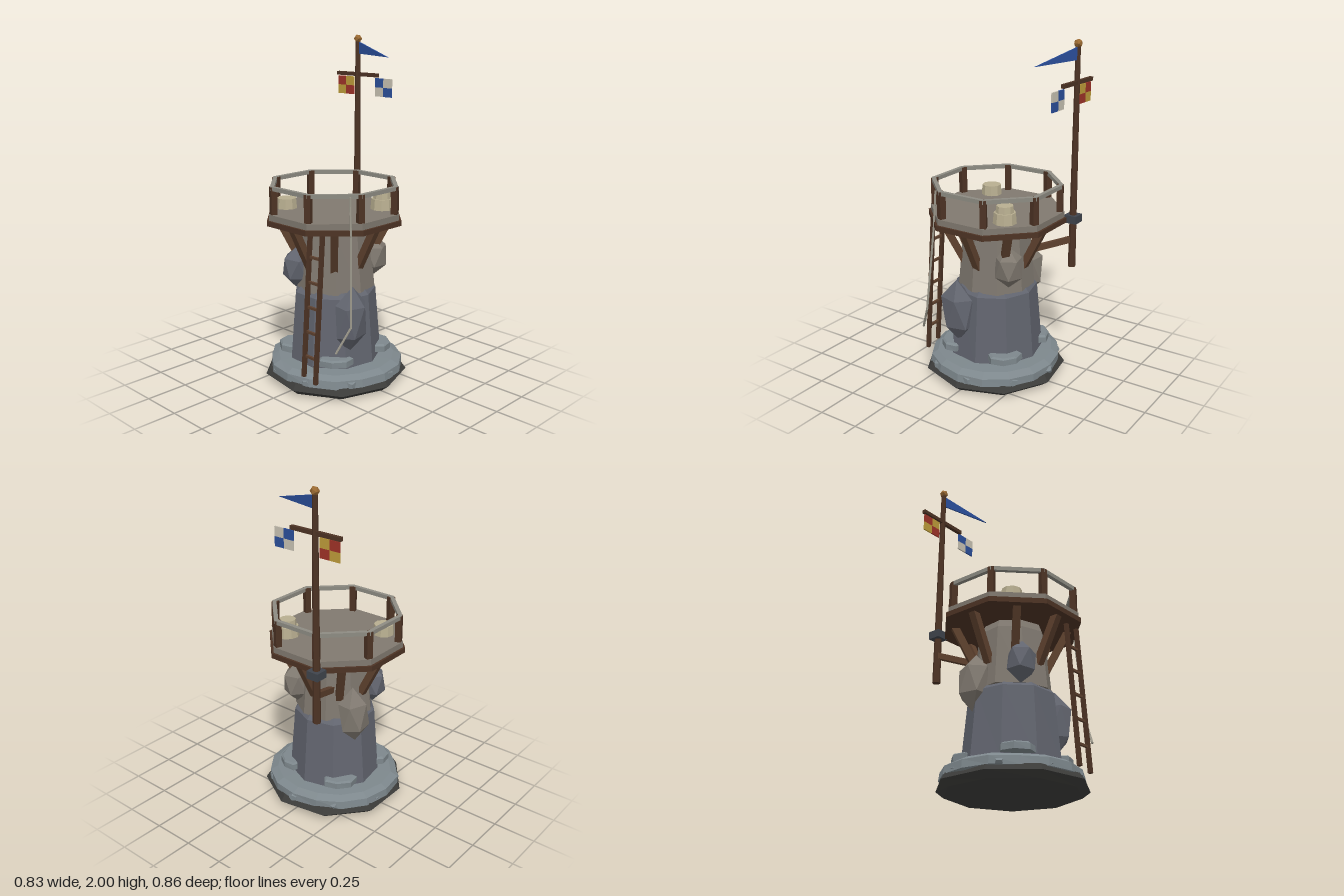
import * as THREE from 'three';

const mat = (color) => new THREE.MeshStandardMaterial({ color, flatShading: true, side: THREE.DoubleSide });
const M = {
  slab: mat(0x3c3c3a), ledge: mat(0x7d878c), rock: mat(0x62656f), stone: mat(0x807970),
  wood: mat(0x4d3324), strut: mat(0x5e412e), deck: mat(0x80796f), rail: mat(0x8d8b82),
  straw: mat(0xb8ae90), iron: mat(0x3f444c), gold: mat(0x9a6a32), rope: mat(0x9b978a),
  blue: mat(0x2b4f9c), white: mat(0xc9c3b4), red: mat(0xa03328), yellow: mat(0xbf9d3a),
};
const CX = -0.008; // platform centre in x

// Repeatable value in -1..1
const noise = (i) => {
  const s = Math.sin(i * 127.1 + 3.7) * 43758.5453;
  return (s - Math.floor(s)) * 2 - 1;
};

export function createModel() {
  const root = new THREE.Group();
  root.name = 'watchtower';

  const add = (name, geo, material, x = 0, y = 0, z = 0, parent = root) => {
    const m = new THREE.Mesh(geo, material);
    m.name = name;
    m.position.set(x, y, z);
    parent.add(m);
    return m;
  };
  const group = (name) => {
    const g = new THREE.Group();
    g.name = name;
    root.add(g);
    return g;
  };

  // Faceted solid of revolution with uneven corners; profile is [radius, y]
  const rough = (profile, sides, amount, seed, start = Math.PI / 2) => {
    const geo = new THREE.LatheGeometry(profile.map(([r, y]) => new THREE.Vector2(r, y)), sides, start);
    const p = geo.attributes.position, n = profile.length;
    for (let i = 0; i < p.count; i++) {
      const side = Math.floor(i / n) % sides, k = i % n;
      const f = 1 + amount * (noise(side + seed) + 0.4 * noise(side * 7 + k + seed));
      p.setX(i, p.getX(i) * f);
      p.setZ(i, p.getZ(i) * f);
    }
    return geo;
  };

  // Square beam or round pole between two points
  const beam = (name, a, b, w, material, parent = root, round = false) => {
    const A = new THREE.Vector3(...a), B = new THREE.Vector3(...b), len = A.distanceTo(B);
    const geo = round ? new THREE.CylinderGeometry(w / 2, w / 2, len, 6) : new THREE.BoxGeometry(w, len, w);
    const m = add(name, geo, material, 0, 0, 0, parent);
    m.position.copy(A).lerp(B, 0.5);
    // Keep the beam upright about y so its sides follow its direction
    const dir = B.clone().sub(A).normalize();
    const side = new THREE.Vector3(0, 1, 0).cross(dir);
    if (side.lengthSq() < 1e-8) side.set(1, 0, 0);
    side.normalize();
    m.quaternion.setFromRotationMatrix(new THREE.Matrix4().makeBasis(side, dir, side.clone().cross(dir)));
    return m;
  };

  // Footing and stone ledge
  add('footing', rough([[0, 0], [0.38, 0.005], [0.425, 0.04], [0.40, 0.075], [0, 0.075]], 9, 0.012, 3), M.slab);
  add('stoneLedge', rough([[0.36, 0.05], [0.395, 0.07], [0.39, 0.115], [0.35, 0.138], [0.2, 0.142]], 16, 0.025, 11), M.ledge);
  const stones = group('looseStones');
  for (let i = 0; i < 9; i++) {
    const a = i * 0.7 + 0.32;
    const s = add('ledgeStone', new THREE.DodecahedronGeometry(0.04 + 0.008 * noise(i)), M.ledge,
      0.365 * Math.sin(a), 0.085, 0.365 * Math.cos(a), stones);
    s.scale.y = 0.8;
    s.rotation.y = i;
  }
  for (let i = 0; i < 4; i++) {
    const a = Math.PI / 4 + i * Math.PI / 2;
    const s = add('flatStone', rough([[0, -0.024], [0.1, -0.02], [0.1, 0.015], [0.085, 0.024], [0, 0.024]], 7, 0.06, 30 + i), M.ledge,
      0.262 * Math.sin(a), 0.185, 0.262 * Math.cos(a), stones);
    s.scale.z = 0.72;
    s.rotation.y = a;
  }

  // Tower in two courses
  add('lowerTower', rough([[0, 0.12], [0.277, 0.13], [0.243, 0.545], [0.215, 0.575], [0, 0.575]], 9, 0.025, 52, 0.3), M.rock);
  add('upperTower', rough([[0, 0.55], [0.228, 0.565], [0.196, 0.91], [0.175, 0.957], [0, 0.957]], 9, 0.03, 73, 0.1), M.stone);

  // Boulders set into the tower walls: x, y, z, half sizes, material
  const boulders = group('boulders');
  [
    [-0.14, 0.68, 0.18, 0.085, 0.125, 0.08, M.rock],
    [0.235, 0.43, 0.11, 0.08, 0.2, 0.11, M.rock],
    [0.14, 0.735, -0.18, 0.08, 0.125, 0.085, M.stone],
    [-0.215, 0.6, -0.09, 0.085, 0.17, 0.1, M.stone],
  ].forEach(([x, y, z, sx, sy, sz, material], i) => {
    const geo = new THREE.IcosahedronGeometry(1, 0);
    geo.rotateZ(0.553); // one corner straight up
    const b = add('boulder', geo.rotateY(i * 0.9).scale(sx * 1.08, sy, sz * 1.08), material, x, y, z, boulders);
    b.rotation.z = 0.06 * noise(i + 5);
  });

  // Platform
  const platform = group('platform');
  platform.position.x = CX;
  const octagon = (r, y0, y1) => new THREE.CylinderGeometry(r, r, y1 - y0, 8).rotateY(Math.PI / 8).translate(0, (y0 + y1) / 2, 0);
  const frame = (ri, ro, y0, y1) => new THREE.LatheGeometry(
    [[ri, y0], [ro, y0], [ro, y1], [ri, y1], [ri, y0]].map(([r, y]) => new THREE.Vector2(r, y)), 8, Math.PI / 8);
  add('platformBeam', octagon(0.411, 0.957, 0.987), M.wood, 0, 0, 0, platform);
  add('platformFloor', octagon(0.397, 0.987, 1.022), M.deck, 0, 0, 0, platform);
  add('handrail', frame(0.363, 0.389, 1.16, 1.183), M.rail, 0, 0, 0, platform);
  for (let i = 0; i < 8; i++) {
    const p = (i + 0.5) * Math.PI / 4, a = i * Math.PI / 4;
    const post = add('railPost', new THREE.BoxGeometry(0.036, 0.16, 0.036), M.wood,
      0.37 * Math.sin(p), 1.1, 0.37 * Math.cos(p), platform);
    post.rotation.y = p;
    const at = (r, y) => [r * Math.sin(a), y, r * Math.cos(a)];
    beam('brace', at(0.325, 0.965), at(0.19, 0.7), 0.042, M.strut, platform);
  }

  // Goods on the platform
  add('lowDrum', new THREE.CylinderGeometry(0.057, 0.062, 0.06, 9), M.straw, -0.22, 1.052, 0.177);
  const tub = group('tub');
  tub.position.set(0.195, 1.02, -0.19);
  add('tubBody', new THREE.CylinderGeometry(0.062, 0.068, 0.065, 9), M.straw, 0, 0.032, 0, tub);
  add('tubTop', new THREE.CylinderGeometry(0.048, 0.052, 0.04, 9), M.straw, 0, 0.083, 0, tub);

  // Ladder leaning on the front edge
  const ladder = group('ladder');
  const ladderZ = (y) => 0.365 - (y - 0.1) * 0.07;
  for (const [x, y] of [[0.11, 0.125], [0.205, 0.105]])
    beam('ladderRail', [x, y, ladderZ(y)], [x, 0.965, ladderZ(0.965)], 0.021, M.wood, ladder);
  for (let i = 0; i < 5; i++) {
    const y = 0.25 + i * 0.143;
    beam('rung', [0.11, y, ladderZ(y)], [0.205, y, ladderZ(y)], 0.014, M.strut, ladder);
  }

  // Hanging rope
  const rope = group('rope');
  const knots = [[0.31, 1.17, 0.2], [0.325, 0.95, 0.207], [0.36, 0.45, 0.243], [0.312, 0.305, 0.312]];
  for (let i = 0; i < 3; i++) beam('ropeLength', knots[i], knots[i + 1], 0.013, M.rope, rope, true);

  // Flagpole behind the platform
  const PX = -0.2, PZ = -0.402;
  const mast = group('flagpole');
  add('pole', new THREE.CylinderGeometry(0.015, 0.023, 1.28, 8), M.wood, PX, 1.32, PZ, mast);
  add('finial', new THREE.IcosahedronGeometry(0.026, 0), M.gold, PX, 1.974, PZ, mast);
  add('bracket', new THREE.BoxGeometry(0.076, 0.046, 0.076), M.iron, PX, 0.977, PZ, mast);
  beam('poleStay', [-0.12, 0.765, -0.18], [PX, 0.85, PZ], 0.034, M.strut, mast);
  add('yard', new THREE.BoxGeometry(0.33, 0.022, 0.022), M.wood, -0.203, 1.762, PZ, mast);

  // Two chequered flags
  const flag = (name, cx, c1, c2) => {
    const g = group(name);
    for (let i = 0; i < 2; i++) for (let j = 0; j < 2; j++)
      add('flagPanel', new THREE.BoxGeometry(0.064, 0.054, 0.008), (i + j) % 2 ? c2 : c1,
        cx + (i - 0.5) * 0.064, 1.692 - (j - 0.5) * 0.054, PZ, g);
  };
  flag('redYellowFlag', -0.295, M.yellow, M.red);
  flag('blueWhiteFlag', 0.01, M.white, M.blue);
  // Swap the rows: top row starts with red and blue
  for (const n of ['redYellowFlag', 'blueWhiteFlag'])
    root.getObjectByName(n).children.forEach((p) => { p.position.y = 2 * 1.692 - p.position.y; });

  // Pennant, swung forward from the pole
  const tri = new THREE.Shape([[0, 0.955], [0, 0.885], [0.315, 0.878]].map(([x, y]) => new THREE.Vector2(x, y + 1)));
  const pennant = add('pennant', new THREE.ExtrudeGeometry(tri, { depth: 0.008, bevelEnabled: false }).translate(0, 0, -0.004),
    M.blue, PX + 0.01, 0, PZ, mast);
  pennant.rotation.y = -0.27;

  return root;
}
